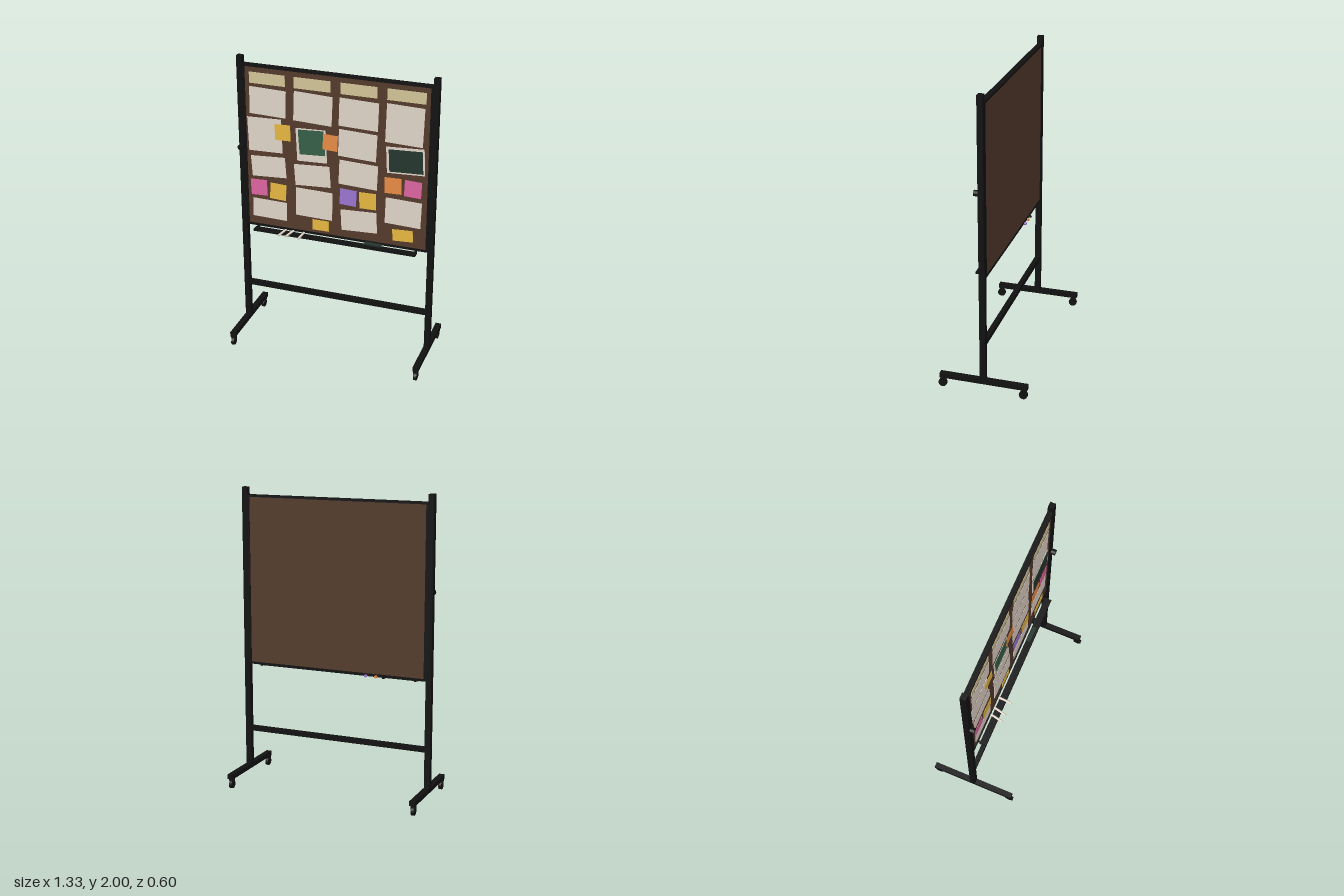
import * as THREE from 'three';

const mat = (name, color) => {
  const m = new THREE.MeshStandardMaterial({ color });
  m.name = name;
  return m;
};

export function createModel() {
  const root = new THREE.Group();
  root.name = 'mobilePinboard';
  const M = {
    frame: mat('black metal', 0x111111),
    board: mat('brown board', 0x543a2c),
    paper: mat('white paper', 0xe0d5c8),
    header: mat('tan card', 0xd3c498),
    yellow: mat('yellow note', 0xf2c044),
    orange: mat('orange note', 0xf09048),
    pink: mat('pink note', 0xdd64a2),
    purple: mat('purple note', 0x9b76d0),
    green: mat('green print', 0x365f48),
    dark: mat('dark green print', 0x24352c),
  };

  const add = (name, geo, m, x = 0, y = 0, z = 0, parent = root) => {
    const mesh = new THREE.Mesh(geo, m);
    mesh.name = name;
    mesh.position.set(x, y, z);
    parent.add(mesh);
    return mesh;
  };
  const box = (name, m, w, h, d, x, y, z, parent) =>
    add(name, new THREE.BoxGeometry(w, h, d), m, x, y, z, parent);

  // Uprights, feet, knobs and casters, one set per side
  for (const s of [-1, 1]) {
    const side = new THREE.Group();
    side.name = s > 0 ? 'leftStand' : 'rightStand';
    side.position.x = s * 0.648;
    root.add(side);
    box('post', M.frame, 0.038, 1.92, 0.038, 0, 1.04, -0.005, side);
    box('foot', M.frame, 0.038, 0.032, 0.586, 0, 0.085, -0.006, side);
    add('pivotKnob', new THREE.CylinderGeometry(0.019, 0.019, 0.03, 16), M.frame, 0, 1.38, 0.028, side)
      .rotation.x = Math.PI / 2;
    for (const z of [-0.27, 0.27]) {
      const caster = new THREE.Group();
      caster.name = 'caster';
      caster.position.z = z;
      side.add(caster);
      add('wheel', new THREE.CylinderGeometry(0.028, 0.028, 0.02, 20), M.frame, 0, 0.028, 0, caster)
        .rotation.z = Math.PI / 2;
      add('stem', new THREE.CylinderGeometry(0.009, 0.009, 0.03, 10), M.frame, 0, 0.062, 0, caster);
      box('forkTop', M.frame, 0.034, 0.01, 0.022, 0, 0.06, 0, caster);
      for (const x of [-0.014, 0.014]) box('forkCheek', M.frame, 0.005, 0.03, 0.018, x, 0.044, 0, caster);
    }
  }
  box('crossbar', M.frame, 1.26, 0.032, 0.032, 0, 0.355, -0.006);

  // Board panel and its thin frame
  box('boardPanel', M.board, 1.236, 1.12, 0.026, 0, 1.38, -0.007);
  for (const y of [1.943, 0.818]) box('frameRail', M.frame, 1.26, 0.015, 0.035, 0, y, -0.006);
  for (const x of [-0.622, 0.622]) box('frameSide', M.frame, 0.015, 1.13, 0.035, x, 1.38, -0.006);

  // Pinned sheets: x, y, width, height, tilt
  const sheets = (name, m, z, list) => list.forEach(([x, y, w, h, tilt = 0]) => {
    box(name, m, w, h, 0.002, x, y, z).rotation.z = tilt;
  });
  sheets('headerCard', M.header, 0.008, [
    [-0.462, 1.863, 0.245, 0.075], [-0.157, 1.863, 0.245, 0.075],
    [0.153, 1.863, 0.24, 0.075], [0.462, 1.863, 0.25, 0.075],
  ]);
  sheets('paperSheet', M.paper, 0.008, [
    [-0.462, 1.707, 0.25, 0.185, -0.03], [-0.485, 1.478, 0.235, 0.235, 0.03],
    [-0.465, 1.255, 0.24, 0.145, 0.06], [-0.463, 0.945, 0.24, 0.133, -0.02],
    [-0.153, 1.702, 0.26, 0.2, -0.04], [-0.165, 1.447, 0.205, 0.228, 0.04],
    [-0.16, 1.235, 0.245, 0.148, 0.06], [-0.15, 1.033, 0.255, 0.2, -0.02],
    [0.153, 1.703, 0.26, 0.19, -0.03], [0.147, 1.492, 0.255, 0.185, -0.04],
    [0.153, 1.288, 0.26, 0.17, -0.04], [0.16, 0.957, 0.245, 0.148, 0.05],
    [0.455, 1.67, 0.245, 0.26, -0.03], [0.465, 1.43, 0.25, 0.18, 0.05],
    [0.458, 1.066, 0.24, 0.182, -0.03],
  ]);
  sheets('greenPrint', M.green, 0.010, [[-0.163, 1.468, 0.175, 0.17, 0.06]]);
  sheets('darkPrint', M.dark, 0.010, [[0.468, 1.427, 0.222, 0.152, 0.05]]);
  sheets('yellowNote', M.yellow, 0.012, [
    [-0.36, 1.512, 0.107, 0.11, 0.03], [-0.4, 1.085, 0.113, 0.115, -0.04],
    [-0.103, 0.885, 0.113, 0.075], [0.22, 1.115, 0.113, 0.115, 0.02],
    [0.46, 0.905, 0.138, 0.082, 0.06],
  ]);
  sheets('orangeNote', M.orange, 0.012, [[-0.035, 1.487, 0.1, 0.108, -0.04], [0.388, 1.25, 0.113, 0.11, 0.03]]);
  sheets('pinkNote', M.pink, 0.012, [[-0.535, 1.098, 0.115, 0.113, 0.04], [0.52, 1.245, 0.113, 0.113, -0.04]]);
  sheets('purpleNote', M.purple, 0.012, [[0.087, 1.12, 0.113, 0.113, -0.04]]);

  // Tray with end brackets and an eraser
  box('tray', M.frame, 1.124, 0.014, 0.046, 0, 0.802, 0.045);
  for (const x of [-0.55, 0.55]) box('trayBracket', M.frame, 0.012, 0.012, 0.04, x, 0.804, 0.012);
  const eraser = new THREE.Group();
  eraser.name = 'eraser';
  eraser.position.set(0.27, 0.809, 0.042);
  eraser.rotation.y = -0.05;
  root.add(eraser);
  box('eraserPad', M.frame, 0.112, 0.008, 0.026, 0, 0.004, 0, eraser);
  box('eraserGrip', M.dark, 0.112, 0.012, 0.026, 0, 0.014, 0, eraser);

  // Markers: front x, rear x, cap colour
  for (const [x0, x1, cap] of [
    [-0.368, -0.342, M.frame], [-0.318, -0.287, M.orange], [-0.227, -0.219, M.purple],
  ]) {
    const marker = new THREE.Group();
    marker.name = 'marker';
    marker.position.set((x0 + x1) / 2, 0.81, 0.034);
    marker.rotation.y = Math.atan2(x0 - x1, 0.14);
    root.add(marker);
    const tube = (name, r, len, z, m) =>
      add(name, new THREE.CylinderGeometry(r, r, len, 12), m, 0, 0, z, marker).rotation.x = Math.PI / 2;
    tube('markerBody', 0.008, 0.095, 0.024, M.paper);
    tube('markerCap', 0.009, 0.048, -0.047, cap);
  }
  return root;
}
